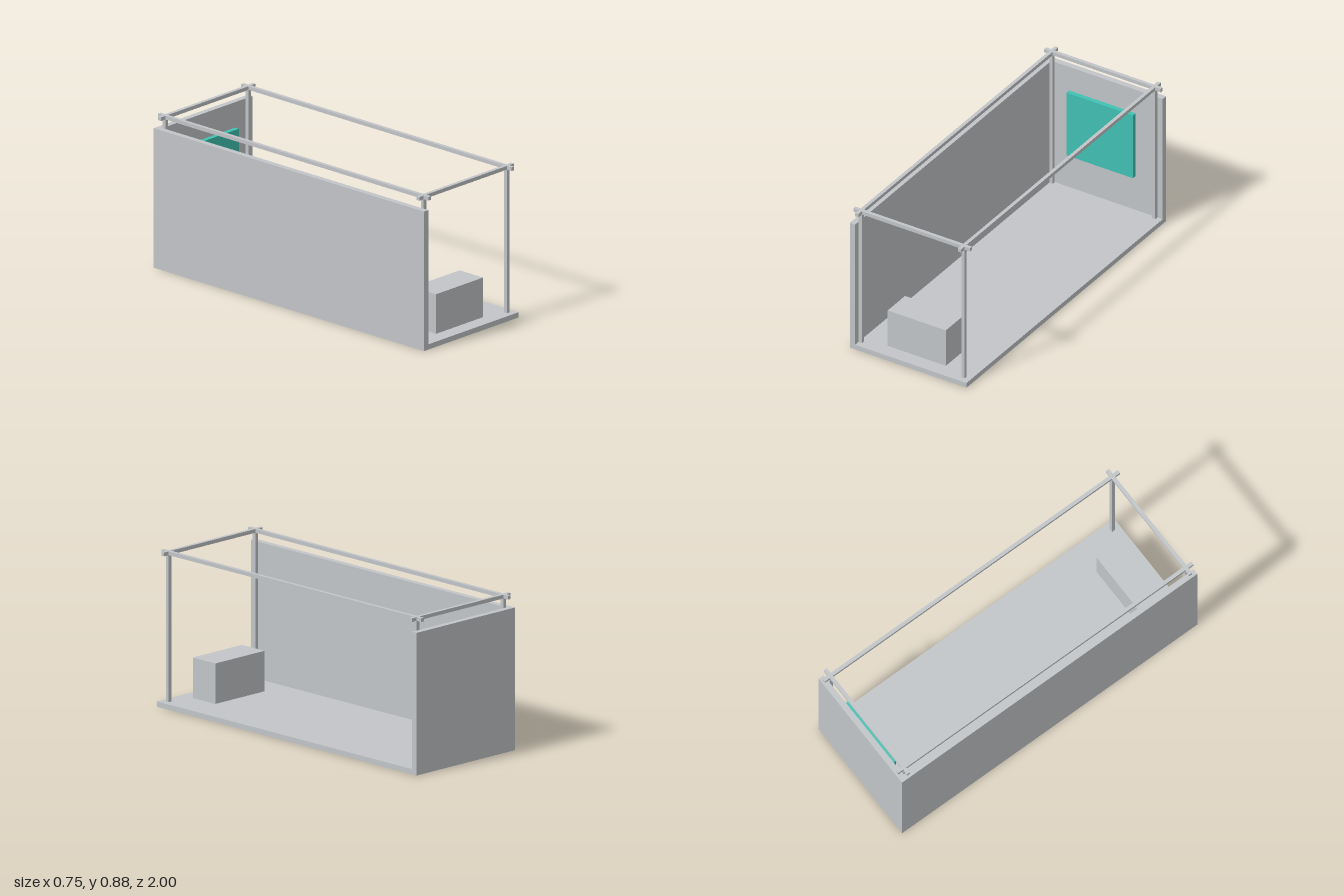
import * as THREE from 'three';

const grey = new THREE.MeshStandardMaterial({ color: 0xc2c5c8 });
grey.name = 'light grey';
const teal = new THREE.MeshStandardMaterial({ color: 0x41c1b3 });
teal.name = 'teal';

export function createModel() {
  const model = new THREE.Group();
  model.name = 'exhibitionBooth';

  // Box given by its extents on each axis
  const box = (name, [x0, x1], [y0, y1], [z0, z1], material = grey) => {
    const mesh = new THREE.Mesh(new THREE.BoxGeometry(x1 - x0, y1 - y0, z1 - z0), material);
    mesh.name = name;
    mesh.position.set((x0 + x1) / 2, (y0 + y1) / 2, (z0 + z1) / 2);
    model.add(mesh);
  };

  const W = 0.375, D = 1, floorTop = 0.03, wallTop = 0.8, wall = 0.034;
  const top = 0.875, bar = 0.021, px = 0.33, pz = 0.955;
  const around = (c) => [c - bar / 2, c + bar / 2];

  // Floor and the two closed sides
  box('floor', [-W, W], [0, floorTop], [-D, D]);
  box('sideWall', [-W, -W + wall], [floorTop, wallTop], [-D, D]);
  box('backWall', [-W + wall, W], [floorTop, wallTop], [-D, -D + wall]);

  // Posts and the overhanging top rails
  for (const s of [-1, 1]) {
    for (const t of [-1, 1]) box('post', around(s * px), [floorTop, top - bar], around(t * pz));
    box('longRail', around(s * px), [top - bar, top], [-D, D]);
    box('crossRail', [-W, W], [top - bar, top], around(s * pz));
  }

  // Counter near the front and screen on the back wall
  box('counter', [-0.187, 0.187], [floorTop, 0.257], [0.74, 0.914]);
  box('screen', [-0.214, 0.214], [0.263, 0.665], [-0.945, -0.918], teal);

  return model;
}
